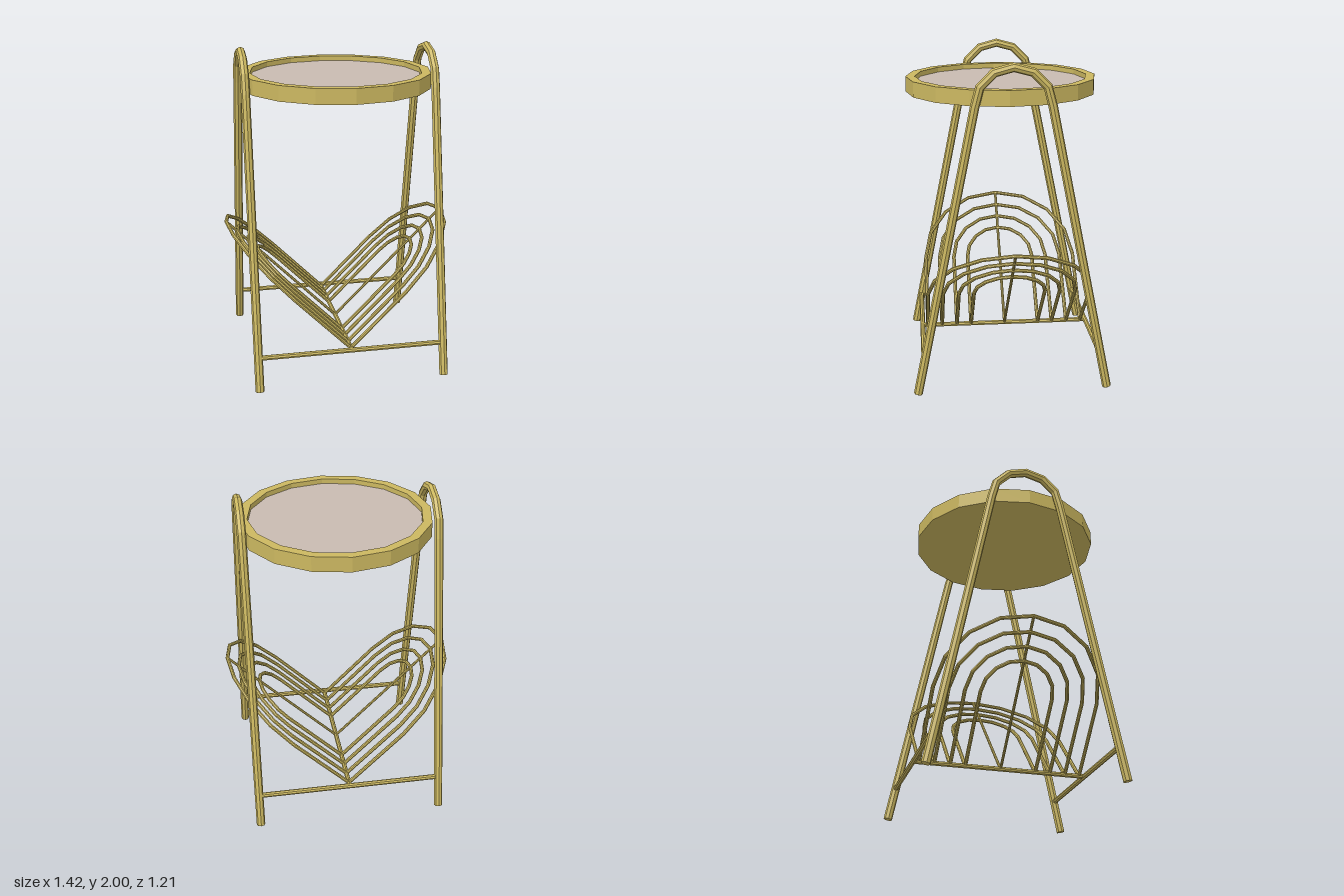
import * as THREE from 'three';

// Curve through given corners, sampled exactly at each corner
class CornerCurve extends THREE.Curve {
  constructor(points) { super(); this.points = points; }
  index(u) { return Math.round(u * (this.points.length - 1)); }
  getPoint(t) { return this.points[this.index(t)].clone(); }
  getPointAt(u) { return this.getPoint(u); }
  getTangentAt(u) {
    const p = this.points, i = this.index(u), t = new THREE.Vector3();
    if (i > 0) t.add(p[i].clone().sub(p[i - 1]).normalize());
    if (i < p.length - 1) t.add(p[i + 1].clone().sub(p[i]).normalize());
    return t.normalize();
  }
}

export function createModel() {
  const brass = new THREE.MeshStandardMaterial({ color: 0xcbb760, flatShading: true });
  brass.name = 'brass';
  const inlay = new THREE.MeshStandardMaterial({ color: 0xc8bab1 });
  inlay.name = 'paleInlay';

  const model = new THREE.Group();
  model.name = 'sideTable';
  const V = (x, y, z) => new THREE.Vector3(x, y, z);

  const add = (parent, name, geometry, material = brass) => {
    const mesh = new THREE.Mesh(geometry, material);
    mesh.name = name;
    parent.add(mesh);
    return mesh;
  };

  // Bent rod with closed ends
  const rod = (parent, name, points, radius, sides = 8) => {
    const curve = new CornerCurve(points);
    const n = points.length - 1;
    const mesh = add(parent, name, new THREE.TubeGeometry(curve, n, radius, sides));
    for (const [u, sign] of [[0, -1], [1, 1]]) {
      const cap = add(mesh, 'rodEnd', new THREE.CircleGeometry(radius, sides));
      cap.position.copy(curve.getPointAt(u));
      cap.quaternion.setFromUnitVectors(V(0, 0, 1), curve.getTangentAt(u).multiplyScalar(sign));
    }
    return mesh;
  };

  // Arched leg frames: splayed legs joined by a half circle
  const legX = 0.577, footZ = 0.577, archR = 0.222, archY = 1.75;
  for (const side of [-1, 1]) {
    const pts = [V(side * legX, 0.005, footZ)];
    for (let i = 0; i <= 6; i++) {
      const a = (i / 6) * Math.PI;
      pts.push(V(side * legX, archY + archR * Math.sin(a), archR * Math.cos(a)));
    }
    pts.push(V(side * legX, 0.005, -footZ));
    rod(model, side > 0 ? 'leftLegFrame' : 'rightLegFrame', pts, 0.027);
  }

  // Stretchers between the frames and the keel bar under the rack
  const barY = 0.207, barZ = 0.537;
  for (const s of [-1, 1]) {
    rod(model, s > 0 ? 'frontStretcher' : 'backStretcher',
      [V(-legX, barY, s * barZ), V(legX, barY, s * barZ)], 0.016);
  }
  rod(model, 'keelBar', [V(0, barY, -barZ), V(0, barY, barZ)], 0.015);

  // V-shaped magazine rack: nested arches on two planes leaning 45 degrees
  const shoulder = 0.345;
  const arches = [[0.503, 0.697], [0.41, 0.628], [0.313, 0.564], [0.22, 0.5]];
  for (const side of [-1, 1]) {
    const rack = new THREE.Group();
    rack.name = side > 0 ? 'leftRack' : 'rightRack';
    model.add(rack);
    const on = (h, z) => V(side * h, barY + h, z);
    for (const [w, top] of arches) {
      const pts = [on(0, w)];
      for (let i = 0; i <= 8; i++) {
        const a = (i / 8) * Math.PI;
        pts.push(on(shoulder + (top - shoulder) * Math.sin(a), w * Math.cos(a)));
      }
      pts.push(on(0, -w));
      rod(rack, 'rackArch', pts, 0.012);
    }
    rod(rack, 'rackSpine', [on(0, 0), on(arches[0][1], 0)], 0.009);
  }

  // Sixteen-sided tray with raised rim and pale inlay
  const tray = new THREE.Group();
  tray.name = 'tray';
  tray.position.set(0, 1.75, 0.023);
  model.add(tray);
  const profile = [[0, 0], [0.583, 0], [0.583, 0.093], [0.527, 0.093], [0.527, 0.058], [0, 0.058]]
    .map(([r, y]) => new THREE.Vector2(r, y));
  add(tray, 'trayRim', new THREE.LatheGeometry(profile, 16));
  const top = add(tray, 'trayInlay', new THREE.CircleGeometry(0.527, 16), inlay);
  top.rotation.x = -Math.PI / 2;
  top.position.y = 0.062;

  return model;
}
